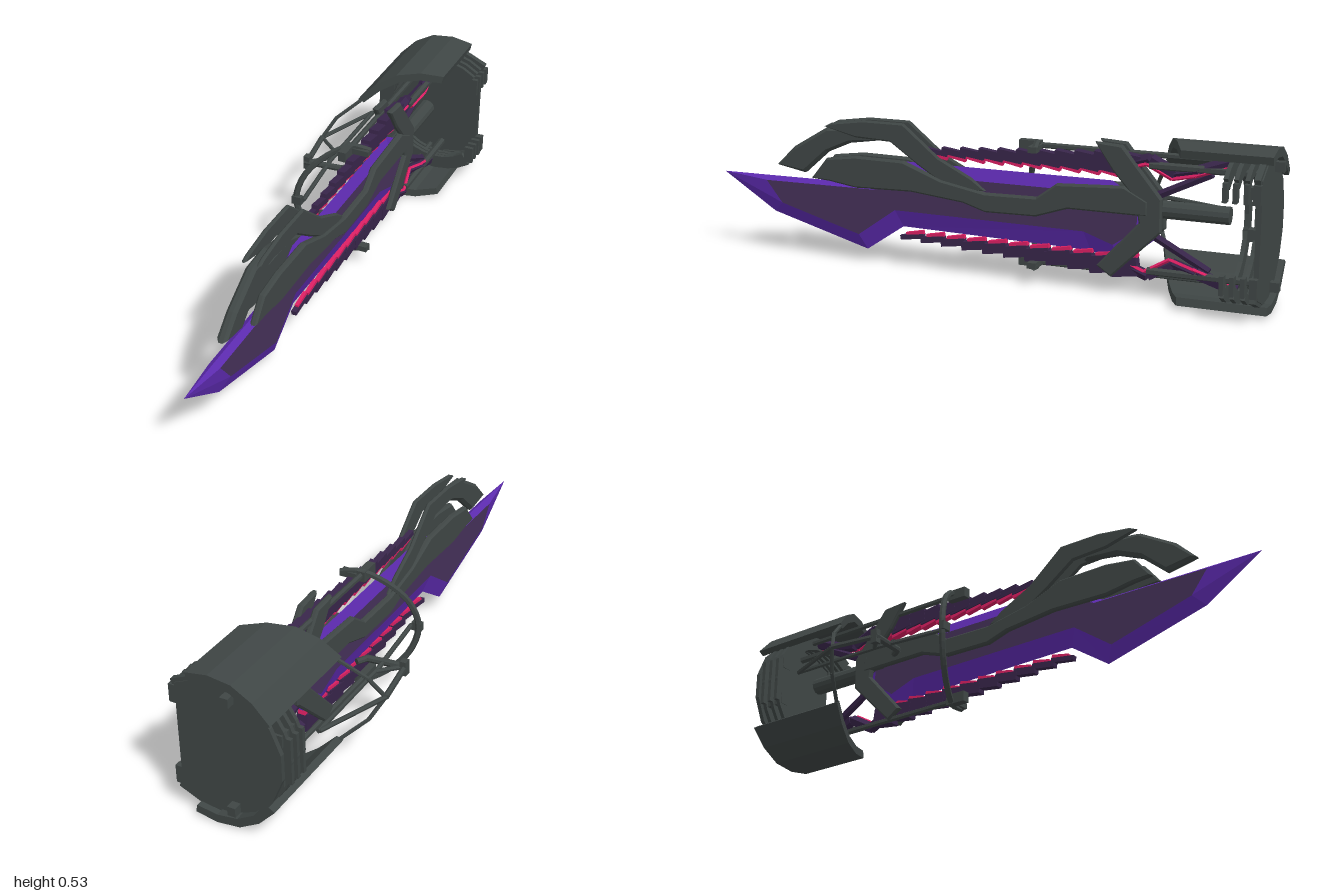
import * as THREE from 'three';

const CX = 0.05;   // blade plane
const CY = 0.262;  // height of the mirror line between upper and lower halves

const material = (name, color) => {
  const m = new THREE.MeshStandardMaterial({ color, side: THREE.DoubleSide, flatShading: true });
  m.name = name;
  return m;
};

export function createModel() {
  const root = new THREE.Group();
  root.name = 'armBlade';
  const grey = material('gunmetal', 0x3f4645);
  const purple = material('bladePurple', 0x5c2aae);
  const panel = material('darkPurplePanel', 0x453159);
  const scale = material('scalePurple', 0x38254a);
  const magenta = material('magentaGlow', 0xdc1f63);

  const add = (name, geometry, mat) => {
    const mesh = new THREE.Mesh(geometry, mat);
    mesh.name = name;
    root.add(mesh);
    return mesh;
  };
  const shapeOf = (pts) => new THREE.Shape(pts.map(([a, b]) => new THREE.Vector2(a, b)));
  const box = (name, x, y, z, w, h, d, mat) => {
    const m = add(name, new THREE.BoxGeometry(w, h, d), mat);
    m.position.set(x, y, z);
    return m;
  };
  // Side profile in (z, y), extruded across x from x0 to x1
  const slab = (name, pts, x0, x1, mat, bevel = 0.006) => {
    const g = new THREE.ExtrudeGeometry(shapeOf(pts), {
      depth: x1 - x0 - 2 * bevel, bevelEnabled: true, bevelSize: bevel,
      bevelOffset: -bevel, bevelThickness: bevel, bevelSegments: 1,
    });
    g.rotateY(-Math.PI / 2);
    g.translate(x1 - bevel, 0, 0);
    return add(name, g, mat);
  };
  // Straight rod between two points
  const strut = (name, a, b, r, mat = grey, sides = 6) => {
    const p = new THREE.Vector3(...a), q = new THREE.Vector3(...b);
    const m = add(name, new THREE.CylinderGeometry(r, r, p.distanceTo(q), sides), mat);
    m.position.copy(p).add(q).multiplyScalar(0.5);
    m.quaternion.setFromUnitVectors(new THREE.Vector3(0, 1, 0), q.sub(p).normalize());
    return m;
  };
  const flip = ([x, y, z]) => [x, 2 * CY - y, z];

  // Blade: sharp outer outline, bevelled up to a raised flat panel on each side
  const edge = [[1, 0.275], [0.8, 0.147], [0.436, 0.045], [0.297, 0.14], [-0.38, 0.128],
    [-0.485, 0.09], [-0.6, 0.19], [-0.6, 0.28], [-0.45, 0.37], [0.3, 0.37], [0.42, 0.279]];
  const inner = [[0.82, 0.262], [0.76, 0.185], [0.46, 0.1], [0.32, 0.2], [-0.36, 0.195],
    [-0.46, 0.16], [-0.54, 0.215], [-0.54, 0.27], [-0.43, 0.33], [0.26, 0.33], [0.4, 0.265]];
  for (const s of [1, -1]) {
    const pos = [];
    edge.forEach((p, i) => {
      const j = (i + 1) % edge.length;
      const A = [CX, p[1], p[0]], B = [CX, edge[j][1], edge[j][0]];
      const C = [CX + s * 0.02, inner[j][1], inner[j][0]], D = [CX + s * 0.02, inner[i][1], inner[i][0]];
      const quad = s > 0 ? [A, B, C, A, C, D] : [A, C, B, A, D, C];
      pos.push(...quad.flat());
    });
    const g = new THREE.BufferGeometry();
    g.setAttribute('position', new THREE.Float32BufferAttribute(pos, 3));
    g.computeVertexNormals();
    add('bladeBevel', g, purple);
    const face = new THREE.ShapeGeometry(shapeOf(inner));
    face.rotateY(-Math.PI / 2);
    if (s > 0) { // turn the winding to face +x
      const ix = face.index.array;
      for (let i = 0; i < ix.length; i += 3) [ix[i], ix[i + 1]] = [ix[i + 1], ix[i]];
      face.computeVertexNormals();
    }
    face.translate(CX + s * 0.02, 0, 0);
    add('bladePanel', face, panel);
  }

  // Armour over the blade: central prow, arched fins and long side strips
  slab('prow', [[0.78, 0.32], [0.71, 0.39], [0.58, 0.468], [0.48, 0.475], [0.36, 0.44],
    [0.49, 0.42], [0.58, 0.38], [0.67, 0.3]], CX - 0.018, CX + 0.018, grey, 0.011);
  const fin = [[0.58, 0.475], [0.55, 0.49], [0.43, 0.507], [0.28, 0.507], [0.15, 0.4], [0.03, 0.34],
    [-0.02, 0.3], [0.11, 0.295], [0.23, 0.37], [0.33, 0.44], [0.46, 0.445]];
  const strip = [[0.63, 0.29], [0.57, 0.365], [0.46, 0.38], [0.28, 0.378], [0.14, 0.325], [-0.02, 0.295],
    [-0.2, 0.298], [-0.27, 0.35], [-0.5, 0.362], [-0.58, 0.32], [-0.58, 0.27], [-0.31, 0.27],
    [-0.2, 0.233], [-0.02, 0.23], [0.06, 0.255], [0.25, 0.275], [0.46, 0.27], [0.56, 0.285]];
  const guard = [[-0.4, 0.5], [-0.49, 0.495], [-0.625, 0.33], [-0.625, 0.22], [-0.46, 0.055],
    [-0.41, 0.09], [-0.55, 0.245], [-0.535, 0.325], [-0.46, 0.41]];
  for (const s of [1, -1]) {
    const pair = (name, pts, a, b) => slab(name, pts, CX + (s > 0 ? a : -b), CX + (s > 0 ? b : -a), grey);
    pair('archFin', fin, 0.018, 0.033);
    pair('sideStrip', strip, 0.017, 0.041);
    pair('guard', guard, 0.016, 0.038);
  }
  strut('mainShaft', [CX, 0.29, -0.5], [CX, 0.29, -0.84], 0.03, grey, 12);

  // Scaled spines above and below, glowing on the side next to the blade
  for (const s of [1, -1]) {
    const n = 11, start = s > 0 ? 0.17 : 0.26;
    for (let i = 0; i < n; i++) {
      const t = i / (n - 1), z = start + (-0.5 - start) * t;
      const h = 0.016 + 0.046 * t, y = CY + s * (0.153 + 0.02 * t);
      const a = box('spineScale', CX + 0.004, y, z, 0.018 + 0.022 * t, h, 0.088, scale);
      a.rotation.x = -s * 0.14;
      const b = box('spineGlow', CX + 0.004, y - s * (h * 0.5 + 0.005), z - 0.01, 0.013 + 0.014 * t, 0.014, 0.066, magenta);
      b.rotation.x = -s * 0.2;
    }
    // Jagged tendons joining the spine to the drum
    const path = [[0.05, 0.43, -0.5], [0.065, 0.455, -0.58], [0.052, 0.41, -0.66], [0.068, 0.43, -0.74], [0.06, 0.475, -0.87]]
      .map((p) => (s > 0 ? p : flip(p)));
    for (let i = 0; i < 4; i++) {
      strut('tendon', path[i], path[i + 1], 0.02, scale, 5);
      const [p, q] = [path[i], path[i + 1]].map(([x, y, z]) => [x + 0.012, y - s * 0.015, z + 0.01]);
      strut('tendonGlow', p, q, 0.0065, magenta, 4);
    }
    strut('tendonBrace', [0.04, CY + s * 0.06, -0.58], [0.06, CY + s * 0.16, -0.78], 0.014, scale, 5);

    // Rails and clamps
    const ry = CY + s * 0.2;
    strut('rail', [0.028, ry, -0.14], [0.028, ry, -0.97], 0.01);
    strut('rearRail', [0.075, CY + s * 0.175, -0.58], [0.075, CY + s * 0.175, -0.96], 0.013);
    box('clamp', 0.027, CY + s * 0.197, -0.16, 0.028, 0.036, 0.075, grey);
    box('clampBar', 0.07, CY + s * 0.196, -0.19, 0.06, 0.02, 0.03, grey);
    box('endBlock', 0.025, CY + s * 0.195, -0.985, 0.028, 0.032, 0.03, grey);
  }

  // Points on a circle about the drum axis, running from angle a0 round the -x side
  const arc = (r, a0, n) => Array.from({ length: n + 1 }, (_, i) => {
    const a = a0 + (2 * Math.PI - 2 * a0) * (i / n);
    return [0.085 + r * Math.cos(a), CY + r * Math.sin(a)];
  });
  const plate = (name, pts, z, depth) => {
    const g = new THREE.ExtrudeGeometry(shapeOf(pts), { depth, bevelEnabled: false });
    g.translate(0, 0, z);
    return add(name, g, grey);
  };

  // Drum: D-shaped back plate, open rings in front of it, and edge brackets
  plate('backPlate', arc(0.229, 0.965, 11), -0.97, 0.016);
  [-0.932, -0.898, -0.866].forEach((z, i) => {
    plate('drumRing', [...arc(0.235, 0.93, 20), ...arc(0.205 - 0.01 * i, 0.93, 20).reverse()], z, 0.014);
    box('leftTab', -0.138, CY, z + 0.007, 0.022, 0.16, 0.014, grey);
    for (const s of [1, -1]) box('rightBracket', 0.222, CY + s * 0.147, z + 0.007, 0.032, 0.062, 0.014, grey);
  });
  for (const s of [1, -1]) {
    box('bracketBlock', 0.225, CY + s * 0.147, -0.958, 0.026, 0.062, 0.024, grey);
    box('ringTooth', -0.108, CY + s * 0.07, -0.895, 0.035, 0.04, 0.09, grey);
  }

  // Curved shells over and under the drum, front edge cut on a slant
  const shell = [[-0.12, 0.415], [-0.063, 0.476], [0.006, 0.516], [0.085, 0.526], [0.162, 0.513],
    [0.156, 0.487], [0.085, 0.497], [0.014, 0.487], [-0.046, 0.452], [-0.1, 0.402]];
  const lip = [[0.085, 0.5], [0.155, 0.49], [0.232, 0.456], [0.222, 0.43], [0.15, 0.463], [0.085, 0.474]];
  for (const s of [1, -1]) {
    const mirrored = (pts) => (s > 0 ? pts : pts.map(([x, y]) => [x, 2 * CY - y]));
    const m = plate('drumShell', mirrored(shell), -0.988, 0.4);
    const p = m.geometry.attributes.position;
    for (let i = 0; i < p.count; i++)
      if (p.getZ(i) > -0.9) p.setZ(i, -0.58 - (p.getX(i) + 0.12) * 0.43);
    m.geometry.computeVertexNormals();
    plate('shellLip', mirrored(lip), -0.966, 0.02);
  }

  // Hoop around the open side
  const half = [[0.1, 0.462, -0.2], [0.035, 0.472, -0.185], [-0.045, 0.43, -0.15], [-0.11, 0.355, -0.115]];
  const hoop = [...half, [-0.135, CY, -0.1], ...half.map(flip).reverse()];
  const curve = new THREE.CatmullRomCurve3(hoop.map((p) => new THREE.Vector3(...p)));
  add('hoop', new THREE.TubeGeometry(curve, 28, 0.011, 6), grey);
  box('hoopHook', -0.128, CY, -0.095, 0.035, 0.03, 0.02, grey);

  // Outer carrying frame and grip
  const apex = [-0.231, CY, -0.51];
  const a = [-0.112, 0.408, -0.59], b = [-0.19, 0.337, -0.545];
  for (const f of [(p) => p, flip]) {
    strut('frameArm', f(a), f(b), 0.007);
    strut('frameArm', f(b), apex, 0.007);
  }
  strut('frameStay', [-0.14, CY, -0.756], apex, 0.008);
  strut('frameBar', [-0.138, CY, -0.76], [-0.135, CY, -0.38], 0.008);
  strut('frameBar', [-0.135, CY, -0.38], [-0.108, CY, -0.1], 0.008);
  strut('gripArm', apex, [-0.205, CY, -0.33], 0.01);
  strut('gripLink', [-0.205, CY, -0.33], [-0.135, CY, -0.4], 0.008);
  strut('grip', [-0.215, CY, -0.33], [-0.075, CY, -0.345], 0.012, grey, 8);
  strut('gripTip', [-0.075, CY, -0.345], [-0.056, CY, -0.378], 0.011, grey, 8);
  box('gripCollar', -0.205, CY, -0.335, 0.022, 0.05, 0.026, grey);
  return root;
}
